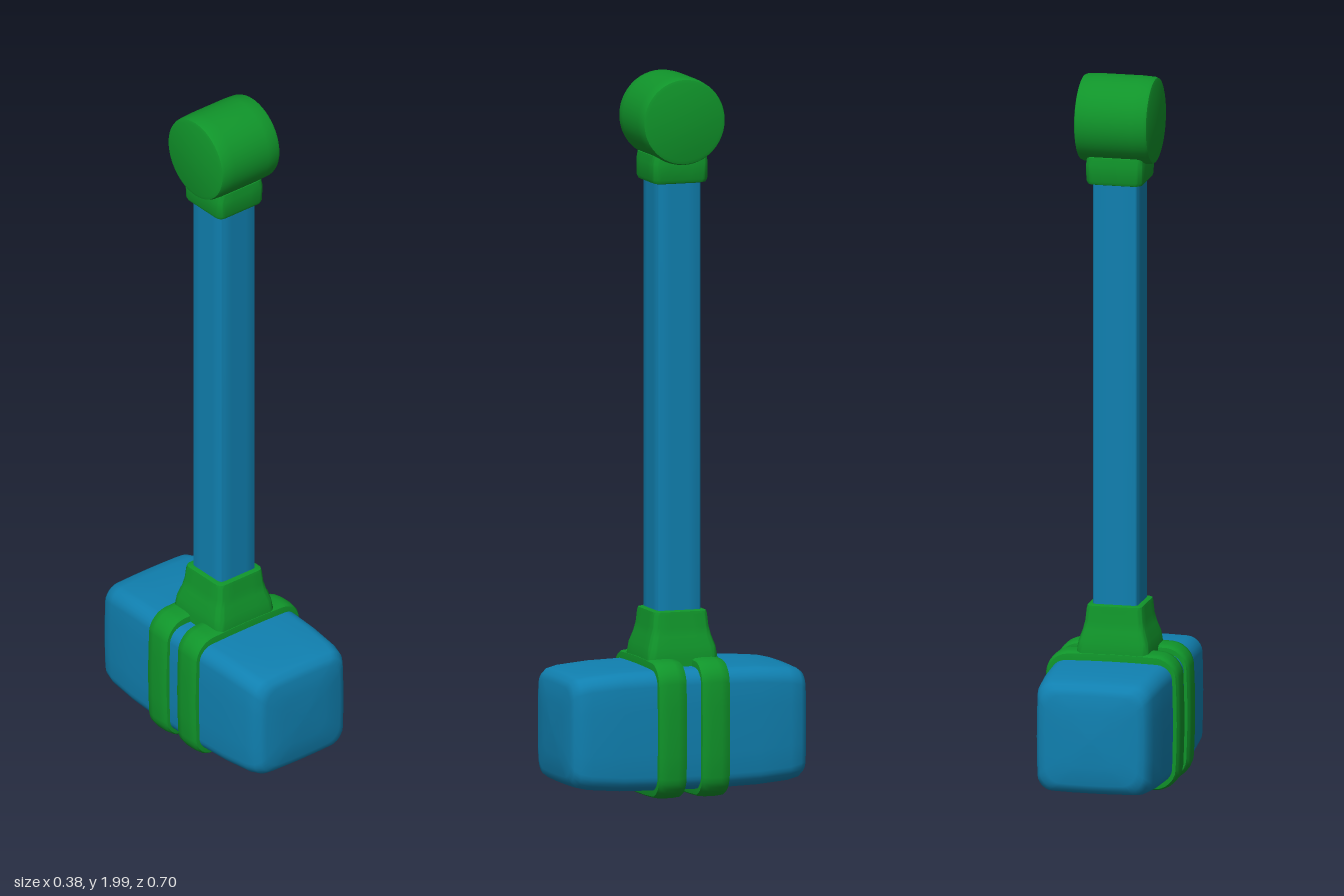
import * as THREE from 'three';
import { toCreasedNormals } from 'three/addons/utils/BufferGeometryUtils.js';

const blue = new THREE.MeshStandardMaterial({ color: 0x1080b0 });
blue.name = 'blue';
const green = new THREE.MeshStandardMaterial({ color: 0x10942a });
green.name = 'green';

// Rounded rectangle, counter-clockwise, with sides that swell by `bulge`
function section(hx, hy, r, bulge) {
  const pts = [];
  const corners = [[1, 1], [-1, 1], [-1, -1], [1, -1]];
  corners.forEach(([sx, sy], c) => {
    const cx = sx * (hx - r), cy = sy * (hy - r);
    for (let i = 0; i <= 6; i++) {
      const a = (c + i / 6) * Math.PI / 2;
      pts.push([cx + r * Math.cos(a), cy + r * Math.sin(a)]);
    }
    // extra points along the straight side that follows
    const [nx, ny] = corners[(c + 1) % 4];
    const [px, py] = pts[pts.length - 1];
    const a = (c + 1) * Math.PI / 2;
    const qx = nx * (hx - r) + r * Math.cos(a), qy = ny * (hy - r) + r * Math.sin(a);
    for (let i = 1; i < 4; i++) pts.push([px + (qx - px) * i / 4, py + (qy - py) * i / 4]);
  });
  return pts.map(([x, y]) => [
    x + (x / hx) * bulge * (1 - (y / hy) ** 2),
    y + (y / hy) * bulge * (1 - (x / hx) ** 2),
  ]);
}

// Skin over sections [z, halfX, halfY, cornerRadius], capped at both ends
function loft(rings, bulge = 0) {
  const pos = [], idx = [];
  let n = 0;
  rings.forEach(([z, hx, hy, r]) => {
    const s = section(hx, hy, r, bulge);
    n = s.length;
    s.forEach(([x, y]) => pos.push(x, y, z));
  });
  for (let k = 0; k < rings.length - 1; k++) {
    for (let i = 0; i < n; i++) {
      const a = k * n + i, b = k * n + (i + 1) % n;
      idx.push(a, b, b + n, a, b + n, a + n);
    }
  }
  const last = (rings.length - 1) * n, first = pos.length / 3;
  pos.push(0, 0, rings[0][0], 0, 0, rings[rings.length - 1][0]);
  for (let i = 0; i < n; i++) {
    const j = (i + 1) % n;
    idx.push(first, j, i, first + 1, last + i, last + j);
  }
  const g = new THREE.BufferGeometry();
  g.setAttribute('position', new THREE.Float32BufferAttribute(pos, 3));
  g.setIndex(idx);
  return toCreasedNormals(g, 0.75);
}

// Square sections [y, half, cornerRadius] stacked upwards
const column = (rings, bulge = 0) =>
  loft(rings.map(([y, h, r]) => [y, h, h, r]), bulge).rotateX(-Math.PI / 2);

// Mirror a half list of sections about z = 0
const mirrored = (half) => [...half.map(([z, ...s]) => [-z, ...s]).reverse(), ...half];

export function createModel() {
  const group = new THREE.Group();
  const add = (name, geometry, material, y = 0, z = 0) => {
    const mesh = new THREE.Mesh(geometry, material);
    mesh.name = name;
    mesh.position.set(0, y, z);
    group.add(mesh);
  };

  // Head: a softened block narrowing towards both striking faces
  add('head', loft(mirrored([
    [0.06, 0.172, 0.166, 0.04], [0.2, 0.167, 0.163, 0.04], [0.29, 0.161, 0.156, 0.04],
    [0.322, 0.154, 0.149, 0.04], [0.338, 0.143, 0.138, 0.04], [0.344, 0.126, 0.122, 0.04],
    [0.348, 0.07, 0.07, 0.03], [0.351, 0.012, 0.012, 0.005],
  ]), 0.004), blue, 0.2);

  // Two bands wrapped round the head
  const band = loft(mirrored([
    [0.015, 0.184, 0.187, 0.055], [0.034, 0.182, 0.185, 0.055],
    [0.040, 0.178, 0.181, 0.052], [0.042, 0.165, 0.168, 0.045],
  ]), 0.007);
  for (const s of [-1, 1]) add(s > 0 ? 'frontBand' : 'backBand', band, green, 0.2, s * 0.063);

  // Flared socket between head and handle
  add('socket', column([
    [0.34, 0.103, 0.022], [0.39, 0.102, 0.022], [0.42, 0.098, 0.022], [0.45, 0.088, 0.02],
    [0.475, 0.082, 0.018], [0.508, 0.079, 0.018], [0.517, 0.077, 0.018], [0.52, 0.068, 0.015],
  ]), green);

  // Square handle with softened edges
  add('handle', column([[0.4, 0.064, 0.014], [1.78, 0.064, 0.014]]), blue);

  // Collar under the pommel
  add('collar', column([
    [1.703, 0.066, 0.015], [1.706, 0.076, 0.018], [1.715, 0.08, 0.02],
    [1.76, 0.081, 0.02], [1.782, 0.078, 0.02], [1.79, 0.068, 0.02], [1.81, 0.062, 0.02],
  ]), green);

  // Pommel: a short drum lying across the handle
  const drum = [
    [0, -0.105], [0.108, -0.104], [0.117, -0.101], [0.12, -0.094], [0.122, -0.06],
    [0.122, 0.06], [0.12, 0.094], [0.117, 0.101], [0.108, 0.104], [0, 0.105],
  ].map(([r, h]) => new THREE.Vector2(r, h));
  add('pommel', toCreasedNormals(new THREE.LatheGeometry(drum, 48), 0.75).rotateZ(Math.PI / 2), green, 1.878);

  return group;
}
